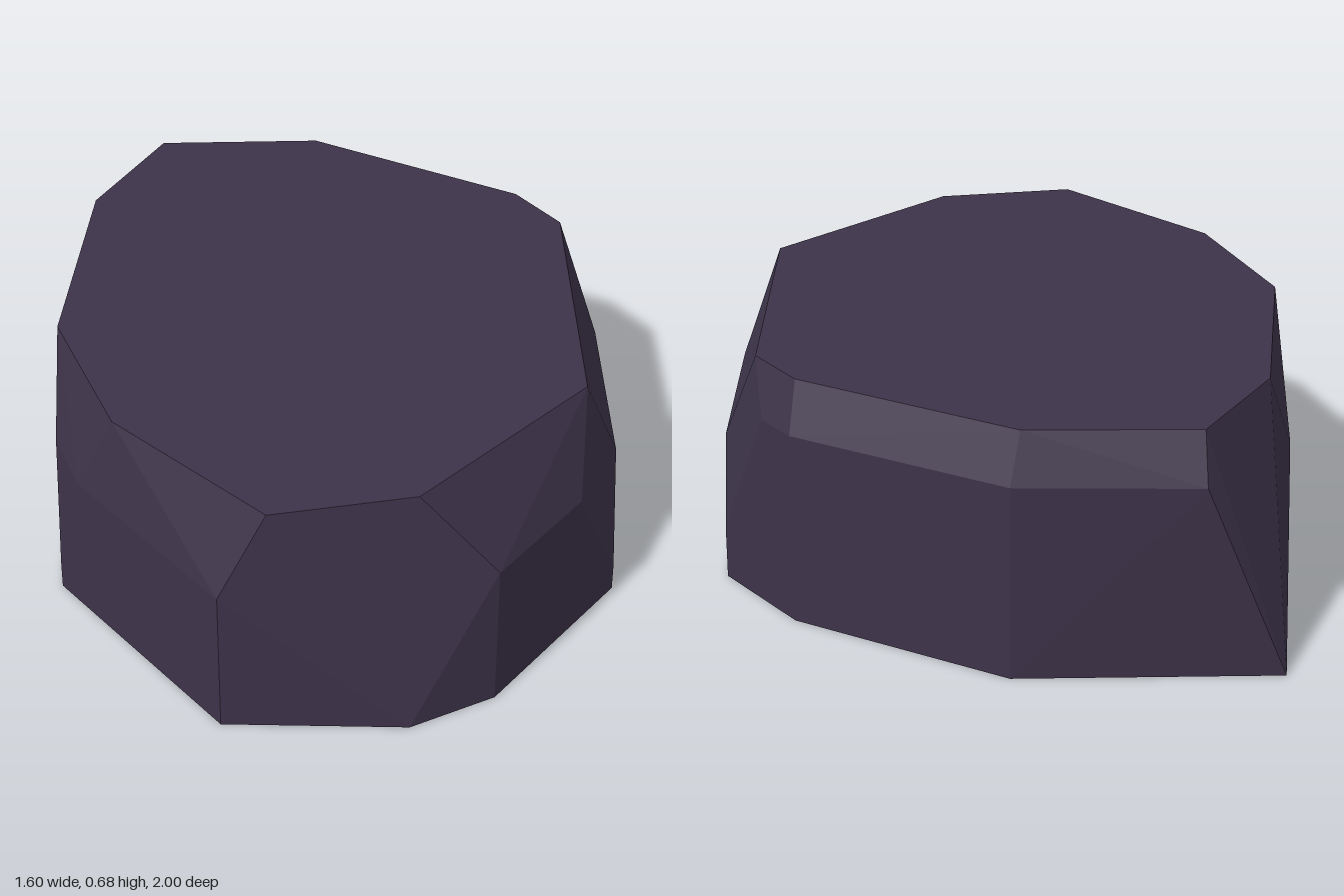
import * as THREE from 'three';
import { ConvexGeometry } from 'three/addons/geometries/ConvexGeometry.js';

// One ring of corners: [x, z] pairs at a shared height
const ring = (y, pairs) => pairs.map(([x, z]) => new THREE.Vector3(x, y, z));

export function createModel() {
  const group = new THREE.Group();
  group.name = 'boulder';
  const stone = new THREE.MeshStandardMaterial({ color: 0x3d3349 });
  stone.name = 'dark stone';

  const corners = [
    // footprint
    ...ring(0, [[-0.63, -1], [0.08, -0.95], [0.62, -0.58], [0.8, -0.3], [0.72, 0.5],
      [0.32, 0.91], [0.08, 1], [-0.41, 0.93], [-0.8, 0.31], [-0.72, -0.49]]),
    // low ends of the corner cuts
    ...ring(0.08, [[0.72, 0.5], [-0.8, 0.31]]),
    ...ring(0.15, [[0.8, -0.3]]),
    // bevel start on the left side
    ...ring(0.385, [[0.735, 0.37], [0.79, -0.2]]),
    // bevel start on the front and right side
    ...ring(0.425, [[0.32, 0.91], [0.585, 0.64], [-0.41, 0.93], [-0.74, 0.405],
      [-0.79, 0.2], [-0.72, -0.49]]),
    // bevel start on the back
    ...ring(0.54, [[-0.41, -1], [0.08, -0.95], [0.62, -0.58], [0.69, -0.47]]),
    // flat top
    ...ring(0.675, [[-0.41, -0.94], [0.05, -0.9], [0.6, -0.52], [0.7, -0.35], [0.62, 0.47],
      [0.11, 0.89], [-0.28, 0.92], [-0.64, 0.48], [-0.765, 0.02], [-0.63, -0.63]]),
  ];

  // Convex stone with flat facets
  const rock = new THREE.Mesh(new ConvexGeometry(corners), stone);
  rock.name = 'rock';
  group.add(rock);
  return group;
}
